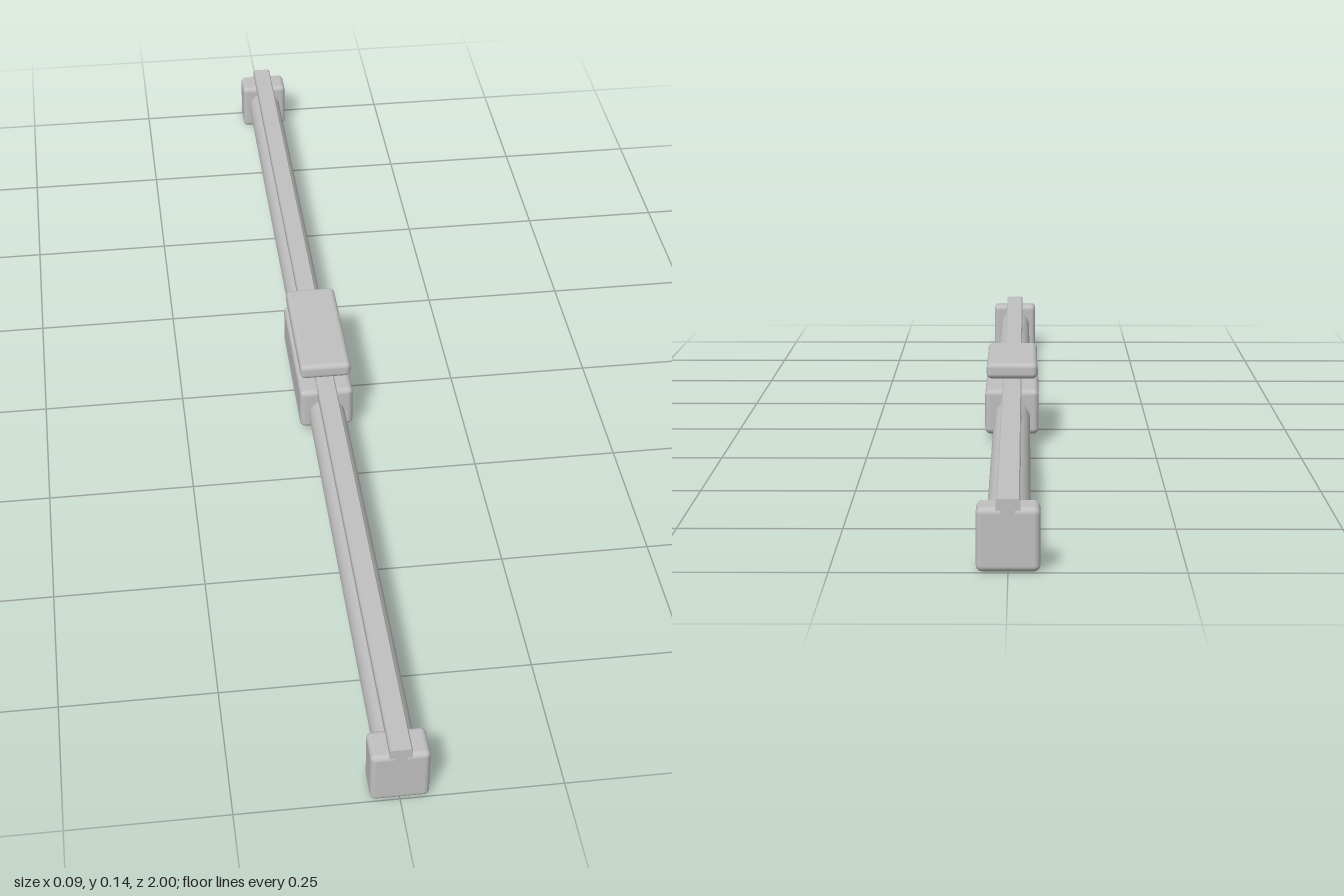
import * as THREE from 'three';
import { RoundedBoxGeometry } from 'three/addons/geometries/RoundedBoxGeometry.js';

export function createModel() {
  const group = new THREE.Group();
  const grey = new THREE.MeshStandardMaterial({ color: 0xc0c0c0 });
  grey.name = 'light grey';

  const add = (name, geometry, x, y, z) => {
    const mesh = new THREE.Mesh(geometry, grey);
    mesh.name = name;
    mesh.position.set(x, y, z);
    group.add(mesh);
    return mesh;
  };
  const block = (name, w, h, d, r, y, z = 0) =>
    add(name, new RoundedBoxGeometry(w, h, d, 3, r), 0, y, z);

  // Round rail running the full length between the end blocks
  const tube = add('railTube', new THREE.CylinderGeometry(0.032, 0.032, 1.92, 40), 0, 0.047, 0);
  tube.rotation.x = Math.PI / 2;

  // Guide strip on top of the rail: a raised bar on a narrower neck
  const half = [[0.010, 0.07], [0.010, 0.088], [0.017, 0.088], [0.017, 0.102], [0.015, 0.105]];
  const outline = [...half, ...half.map(([x, y]) => [-x, y]).reverse()];
  const strip = new THREE.Shape(outline.map(([x, y]) => new THREE.Vector2(x, y)));
  add('guideStrip', new THREE.ExtrudeGeometry(strip, { depth: 2, bevelEnabled: false }), 0, 0, -1);

  // Rounded end blocks
  for (const side of [1, -1]) block('endBlock', 0.09, 0.092, 0.058, 0.009, 0.046, side * 0.971);

  // Sliding carriage around the rail and the plate floating above it
  block('carriage', 0.095, 0.08, 0.27, 0.01, 0.058);
  block('topPlate', 0.09, 0.028, 0.24, 0.009, 0.129);

  return group;
}
